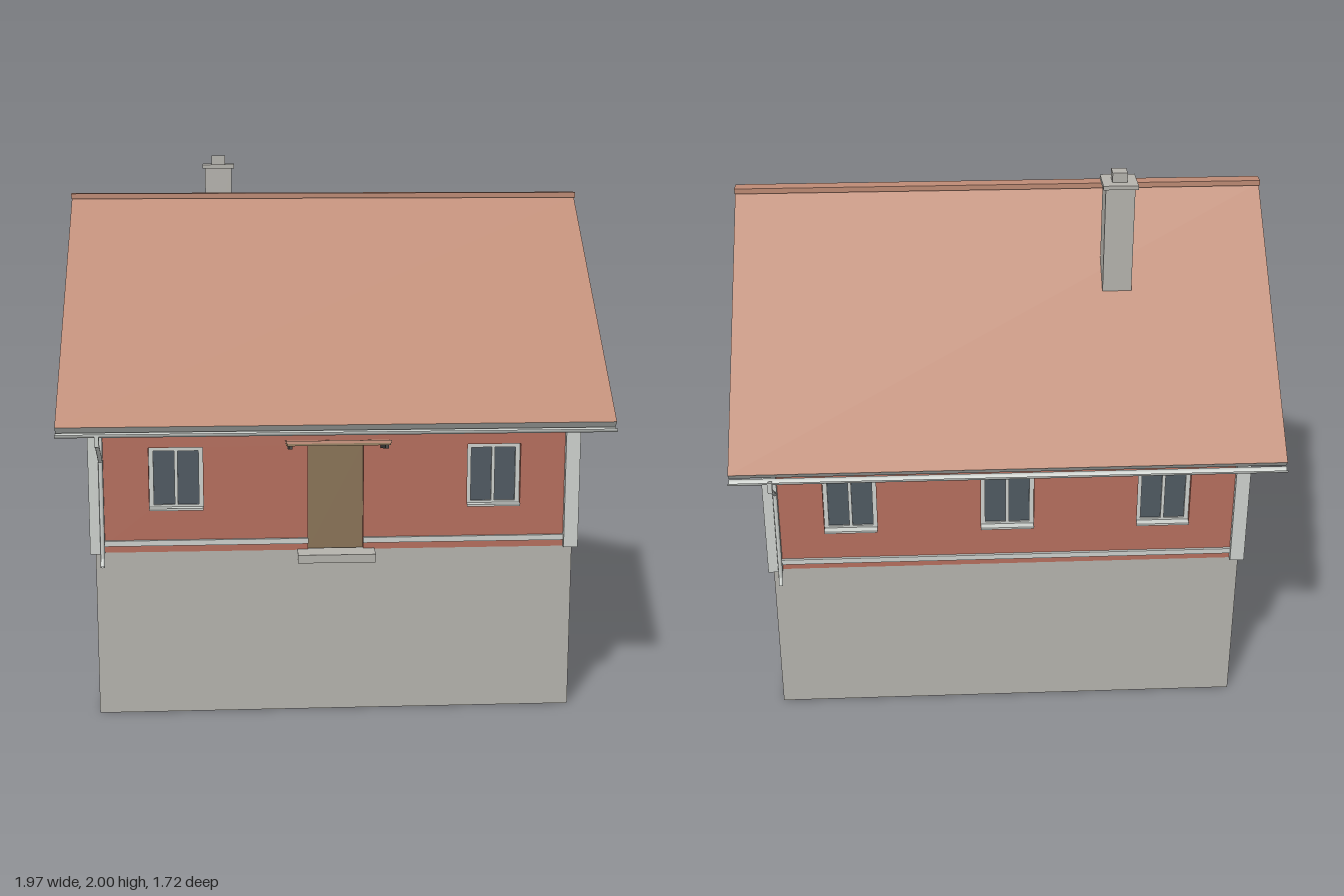
import * as THREE from 'three';

const mat = (name, color, side = THREE.FrontSide) => {
  const m = new THREE.MeshStandardMaterial({ color, side });
  m.name = name;
  return m;
};

export function createModel() {
  const red = mat('red wall', 0xb66f5e, THREE.DoubleSide);
  const stone = mat('grey stone', 0xb5b3ad, THREE.DoubleSide);
  const tile = mat('roof tile', 0xbe8b75);
  const trim = mat('pale trim', 0xced2ce, THREE.DoubleSide);
  const wood = mat('brown wood', 0x8a7457);
  const glass = mat('dark glass', 0x505a62);
  const iron = mat('dark iron', 0x3c3a38);

  const house = new THREE.Group();
  house.name = 'house';
  const C = -0.012, HX = 0.868, HZ = 0.682; // ridge z, half width, half depth
  const BASE = 0.61, RIDGE = 1.845, SLOPE = Math.atan(0.9), DEPTH = 0.03;

  const add = (parent, name, geo, material, x = 0, y = 0, z = 0) => {
    const m = new THREE.Mesh(geo, material);
    m.name = name;
    m.position.set(x, y, z);
    parent.add(m);
    return m;
  };
  // box given by its limits on each axis
  const box = (parent, name, material, [x0, x1], [y0, y1], [z0, z1]) =>
    add(parent, name, new THREE.BoxGeometry(x1 - x0, y1 - y0, z1 - z0), material,
      (x0 + x1) / 2, (y0 + y1) / 2, (z0 + z1) / 2);

  // recessed opening cut in a wall outline
  const cut = (shape, x0, x1, y0, y1) => {
    const p = new THREE.Path();
    p.moveTo(x0, y0);
    p.lineTo(x0, y1);
    p.lineTo(x1, y1);
    p.lineTo(x1, y0);
    p.closePath();
    shape.holes.push(p);
  };

  // window in wall space: outside is +z, the wall face lies at z = 0
  const addWindow = (parent, x) => {
    const w = new THREE.Group();
    w.name = 'window';
    w.position.set(x, 0.88, 0);
    parent.add(w);
    const a = 0.097, b = 0.115, f = 0.016;
    const z = [-0.036, -0.018];
    box(w, 'pane', glass, [-a, a], [-b, b], [-0.033, -0.025]);
    for (const s of [-1, 1]) {
      box(w, 'frameSide', trim, [s * a - (s > 0 ? f : 0), s * a + (s < 0 ? f : 0)], [-b, b], z);
      box(w, 'frameRail', trim, [-a + f, a - f], [s * b - (s > 0 ? f : 0), s * b + (s < 0 ? f : 0)], z);
    }
    box(w, 'mullion', trim, [-0.006, 0.006], [-b + f, b - f], z);
    box(w, 'sill', trim, [-a, a], [-b, -b + 0.008], [-0.02, 0.01]);
  };

  // four sides: foundation panel, wall with openings, windows and rails
  const sides = [
    { name: 'front', turn: 0, half: HX, out: HZ, windows: [-0.575, 0.575], door: true },
    { name: 'back', turn: Math.PI, half: HX, out: HZ, windows: [-0.575, 0, 0.575] },
    { name: 'left', turn: Math.PI / 2, half: HZ, out: HX, windows: [-0.342, 0.342], gable: true },
    { name: 'right', turn: -Math.PI / 2, half: HZ, out: HX, windows: [-0.342, 0.342], gable: true },
  ];
  for (const s of sides) {
    const g = new THREE.Group();
    g.name = s.name + 'Side';
    g.rotation.y = s.turn;
    g.position.set(Math.sin(s.turn) * s.out, 0, C + Math.cos(s.turn) * s.out);
    house.add(g);
    const h = s.half, top = 1.185;

    add(g, 'foundation', new THREE.PlaneGeometry(2 * h, BASE), stone, 0, BASE / 2, 0);

    const shape = new THREE.Shape();
    shape.moveTo(-h, BASE);
    if (s.door) {
      shape.lineTo(-0.1, BASE);
      shape.lineTo(-0.1, 1);
      shape.lineTo(0.1, 1);
      shape.lineTo(0.1, BASE);
    }
    shape.lineTo(h, BASE);
    shape.lineTo(h, top);
    if (s.gable) shape.lineTo(0, 1.8);
    shape.lineTo(-h, top);
    shape.closePath();
    for (const x of s.windows) {
      cut(shape, x - 0.097, x + 0.097, 0.765, 0.995);
      addWindow(g, x);
    }
    const geo = new THREE.ExtrudeGeometry(shape, { depth: DEPTH, bevelEnabled: false });
    add(g, 'wall', geo, red, 0, 0, -DEPTH);

    const rail = [-DEPTH - 0.006, 0.01], r = h - 0.03;
    if (s.door) {
      box(g, 'lowerRail', trim, [-r, -0.1], [0.635, 0.655], rail);
      box(g, 'lowerRail', trim, [0.1, r], [0.635, 0.655], rail);
      box(g, 'door', wood, [-0.1, 0.1], [BASE, 1], [-0.034, -0.02]);
    } else box(g, 'lowerRail', trim, [-r, r], [0.635, 0.655], rail);
    if (s.gable) box(g, 'upperRail', trim, [-r, r], [1.155, 1.172], rail);
  }

  // corner boards
  for (const sx of [-1, 1]) for (const sz of [-1, 1])
    add(house, 'cornerBoard', new THREE.BoxGeometry(0.052, 0.565, 0.052), trim,
      sx * 0.86, BASE + 0.2825, C + sz * 0.676);

  // two roof slopes, each with a gutter and a downpipe
  const T = 0.033, RUN = 0.827, L = RUN / Math.cos(SLOPE);
  for (const back of [0, 1]) {
    const g = new THREE.Group();
    g.name = back ? 'backRoof' : 'frontRoof';
    g.position.z = C;
    g.rotation.y = back * Math.PI;
    house.add(g);
    const slab = new THREE.BoxGeometry(1.97, T, L);
    slab.translate(0, -T / 2, L / 2);
    const roof = add(g, 'roofSlope', slab, [trim, trim, tile, wood, trim, trim], 0, RIDGE, 0);
    roof.rotation.x = SLOPE;

    const gutter = new THREE.CylinderGeometry(0.015, 0.015, 1.97, 10, 1, true, 0, Math.PI);
    gutter.rotateZ(-Math.PI / 2);
    add(g, 'gutter', gutter, trim, 0, 1.08, RUN + 0.005);

    const px = -0.84;
    box(g, 'gutterOutlet', trim, [px - 0.008, px + 0.008], [1.035, 1.075], [RUN + 0.003, RUN + 0.019]);
    const path = new THREE.CurvePath();
    const pts = [[1.045, RUN + 0.011], [0.955, 0.715], [0.6, 0.715], [0.57, 0.735]]
      .map(([y, z]) => new THREE.Vector3(px, y, z));
    for (let i = 0; i < 3; i++) path.add(new THREE.LineCurve3(pts[i], pts[i + 1]));
    add(g, 'downpipe', new THREE.TubeGeometry(path, 60, 0.008, 8), trim);
  }
  box(house, 'ridgeCap', tile, [-0.985, 0.985], [1.843, 1.863], [C - 0.025, C + 0.025]);

  // chimney
  box(house, 'chimneyStack', stone, [-0.472, -0.366], [1.555, 1.95], [-0.34, -0.234]);
  box(house, 'chimneyCap', stone, [-0.482, -0.356], [1.95, 1.965], [-0.351, -0.225]);
  box(house, 'chimneyPot', stone, [-0.446, -0.392], [1.965, 2], [-0.314, -0.26]);

  // entrance step and tilted canopy on two brackets
  box(house, 'doorStep', stone, [-0.14, 0.14], [0.583, 0.613], [0.66, 0.755]);
  const canopy = new THREE.Group();
  canopy.name = 'canopy';
  canopy.position.set(0, 1.02, 0.762);
  canopy.rotation.x = -0.2;
  house.add(canopy);
  box(canopy, 'canopyRoof', tile, [-0.183, 0.183], [0.004, 0.014], [-0.1, 0.1]);
  box(canopy, 'canopyUnderside', wood, [-0.18, 0.18], [-0.004, 0.004], [-0.1, 0.098]);
  for (const s of [-1, 1])
    box(canopy, 'canopyBracket', iron, [s * 0.168 - 0.006, s * 0.168 + 0.006], [-0.016, -0.004], [-0.1, 0.085]);

  return house;
}
